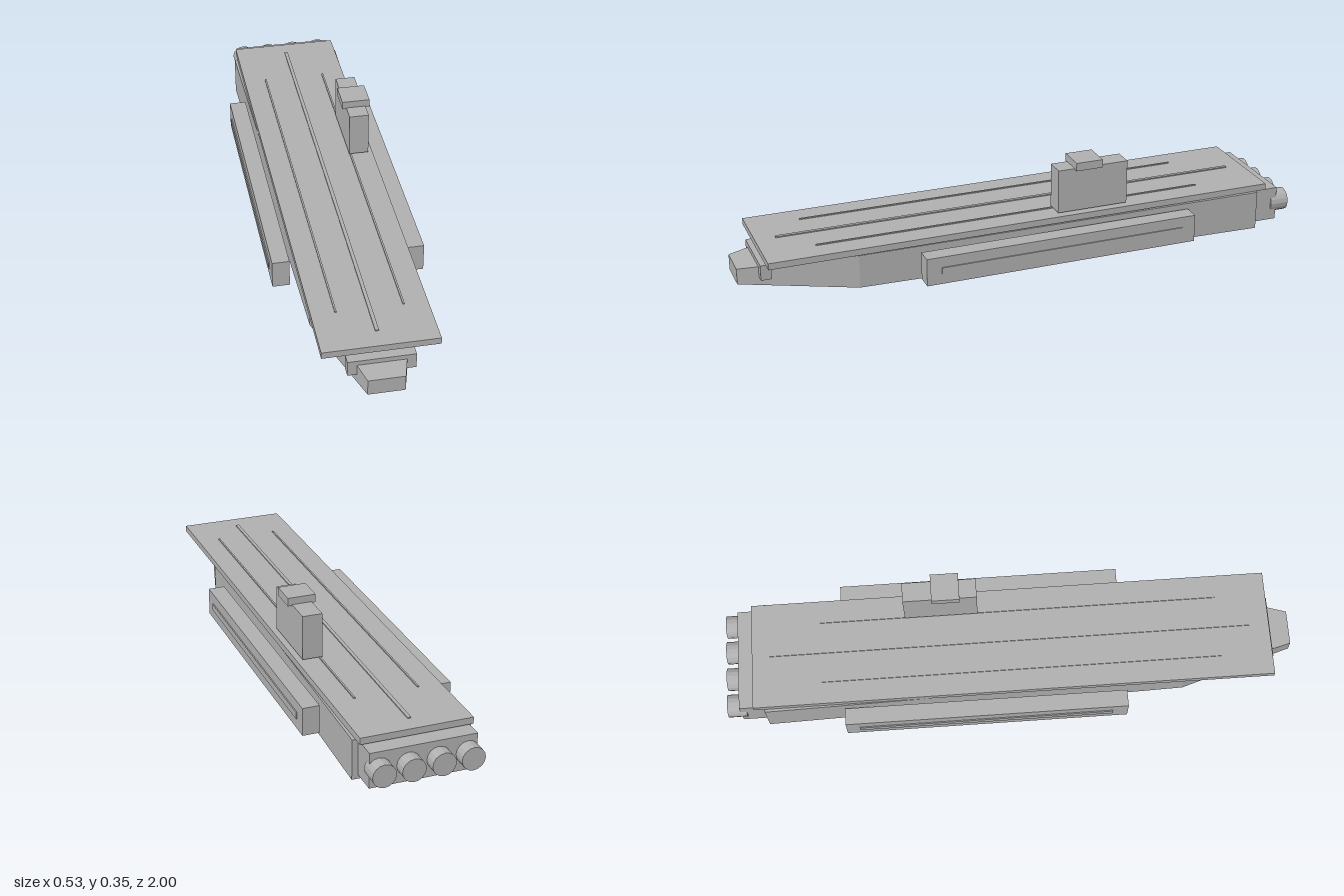
import * as THREE from 'three';

const grey = new THREE.MeshStandardMaterial({ color: 0xb0b0b0, flatShading: true });
grey.name = 'hull grey';

// Box given by its extents on each axis
function box(name, [x0, x1], [y0, y1], [z0, z1]) {
  const mesh = new THREE.Mesh(new THREE.BoxGeometry(x1 - x0, y1 - y0, z1 - z0), grey);
  mesh.position.set((x0 + x1) / 2, (y0 + y1) / 2, (z0 + z1) / 2);
  mesh.name = name;
  return mesh;
}

// Loft through rectangular sections, listed from bow to stern
function loftHull(sections) {
  const pos = [], index = [];
  for (const { z, half, bottom, top } of sections) {
    pos.push(-half, bottom, z, half, bottom, z, half, top, z, -half, top, z);
  }
  const quad = (a, b, c, d) => index.push(a, b, c, a, c, d);
  quad(0, 1, 2, 3);
  for (let s = 0; s < sections.length - 1; s++) {
    for (let i = 0; i < 4; i++) {
      const a = s * 4 + i, b = s * 4 + (i + 1) % 4;
      quad(b, a, a + 4, b + 4);
    }
  }
  const e = (sections.length - 1) * 4;
  quad(e + 3, e + 2, e + 1, e);
  const geo = new THREE.BufferGeometry();
  geo.setAttribute('position', new THREE.Float32BufferAttribute(pos, 3));
  geo.setIndex(index);
  const flat = geo.toNonIndexed();
  flat.computeVertexNormals();
  return flat;
}

export function createModel() {
  const ship = new THREE.Group();
  ship.name = 'carrierShip';

  // Tapered hull
  const hull = new THREE.Mesh(loftHull([
    { z: 1, half: 0.06, bottom: 0.043, top: 0.099 },
    { z: 0.61, half: 0.17, bottom: 0.012, top: 0.13 },
    { z: -0.865, half: 0.2, bottom: 0, top: 0.14 },
  ]), grey);
  hull.name = 'hull';
  ship.add(hull);

  // Bow collar and stern block
  ship.add(box('bowCollar', [-0.11, 0.11], [0.067, 0.121], [0.893, 0.93]));
  ship.add(box('sternBlock', [-0.18, 0.18], [0.015, 0.137], [-0.955, -0.85]));

  // Flight deck with raised runway strips
  ship.add(box('flightDeck', [-0.19, 0.19], [0.141, 0.164], [-0.903, 0.92]));
  ship.add(box('centreStrip', [-0.006, 0.006], [0.162, 0.168], [-0.84, 0.85]));
  for (const x of [-0.11, 0.11]) {
    ship.add(box('sideStrip', [x - 0.003, x + 0.003], [0.162, 0.168], [-0.66, 0.74]));
  }

  // Command tower
  ship.add(box('tower', [0.104, 0.173], [0.171, 0.328], [-0.36, -0.103]));
  ship.add(box('towerCap', [0.09, 0.188], [0.324, 0.353], [-0.26, -0.163]));

  // Side pods with outer rails
  for (const s of [-1, 1]) {
    const span = (a, b) => (s > 0 ? [a, b] : [-b, -a]);
    ship.add(box('sidePod', span(0.2, 0.259), [0.021, 0.12], [-0.588, 0.403]));
    ship.add(box('podRail', span(0.25, 0.263), [0.058, 0.082], [-0.54, 0.35]));
  }

  // Row of four engines
  const engineGeo = new THREE.CylinderGeometry(0.04, 0.04, 0.067, 16).rotateX(Math.PI / 2);
  for (const x of [-0.148, -0.05, 0.05, 0.148]) {
    const engine = new THREE.Mesh(engineGeo, grey);
    engine.position.set(x, 0.076, -0.9665);
    engine.name = 'engine';
    ship.add(engine);
  }
  return ship;
}
